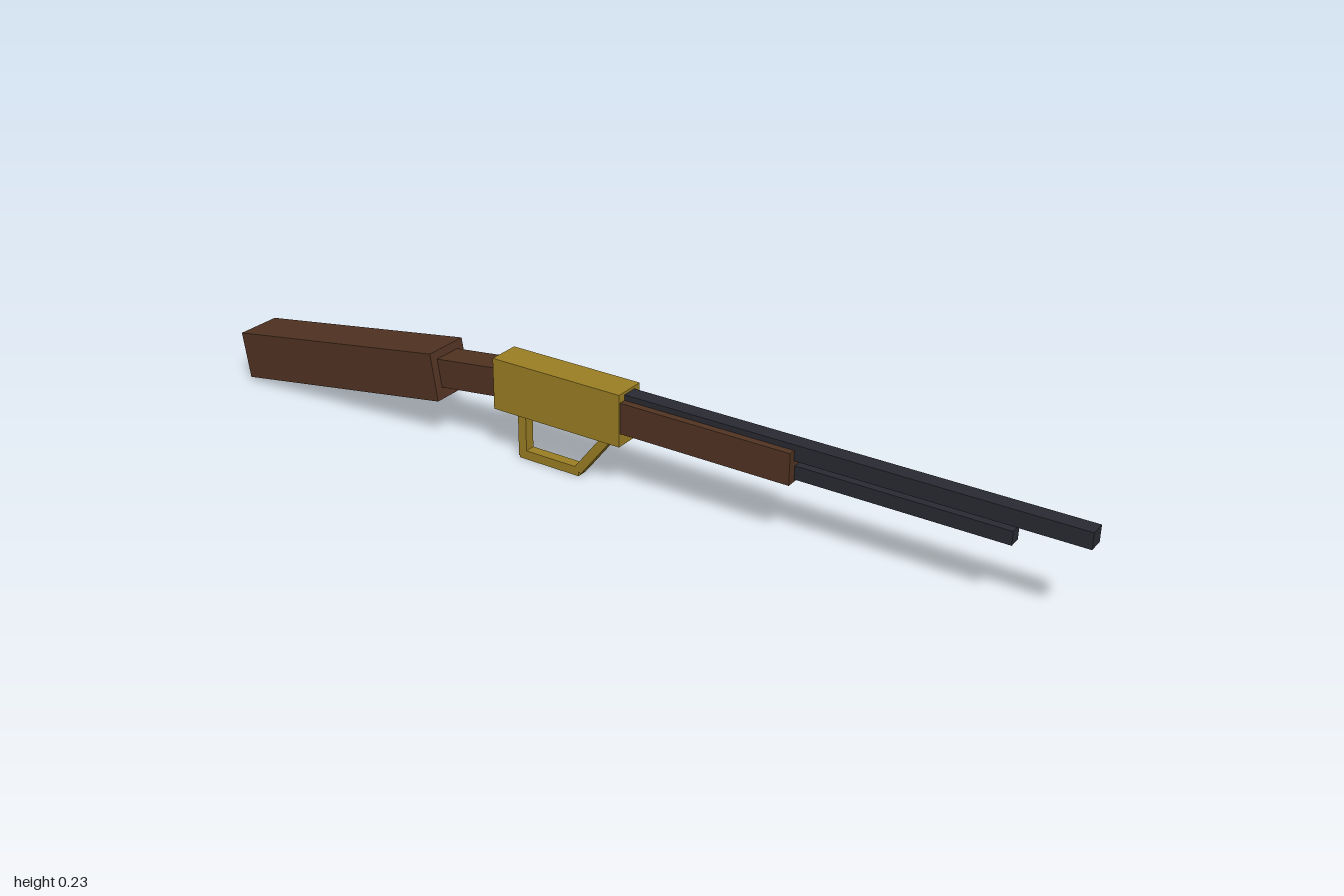
import * as THREE from 'three';

export function createModel() {
  const model = new THREE.Group();
  const material = (name, color) => {
    const m = new THREE.MeshStandardMaterial({ color });
    m.name = name;
    return m;
  };
  const wood = material('wood', 0x523423);
  const brass = material('brass', 0x9c8024);
  const steel = material('steel', 0x2a2b33);

  // Box centred at (x, y), tilted in the side plane by a number of degrees
  const bar = (name, mat, [length, height, width], x, y, tilt = 0, parent = model) => {
    const mesh = new THREE.Mesh(new THREE.BoxGeometry(length, height, width), mat);
    mesh.name = name;
    mesh.position.set(x, y, 0);
    mesh.rotation.z = THREE.MathUtils.degToRad(tilt);
    parent.add(mesh);
  };

  // Wooden furniture
  bar('stock', wood, [0.566, 0.107, 0.106], -0.711, 0.105, 9);
  bar('grip', wood, [0.19, 0.064, 0.067], -0.356, 0.162, 7);
  bar('forearm', wood, [0.395, 0.068, 0.067], 0.2175, 0.174);

  // Metalwork
  bar('receiver', brass, [0.315, 0.115, 0.073], -0.1275, 0.1685);
  bar('barrel', steel, [0.99, 0.034, 0.035], 0.505, 0.203);
  bar('magazineTube', steel, [0.455, 0.029, 0.027], 0.6275, 0.1595);

  // Lever loop hanging under the receiver
  const lever = new THREE.Group();
  lever.name = 'lever';
  model.add(lever);
  bar('leverRear', brass, [0.02, 0.102, 0.024], -0.232, 0.056, 0, lever);
  bar('leverBottom', brass, [0.152, 0.02, 0.024], -0.164, 0.01, 0, lever);
  bar('leverFront', brass, [0.112, 0.02, 0.024], -0.056, 0.057, 52, lever);

  return model;
}
